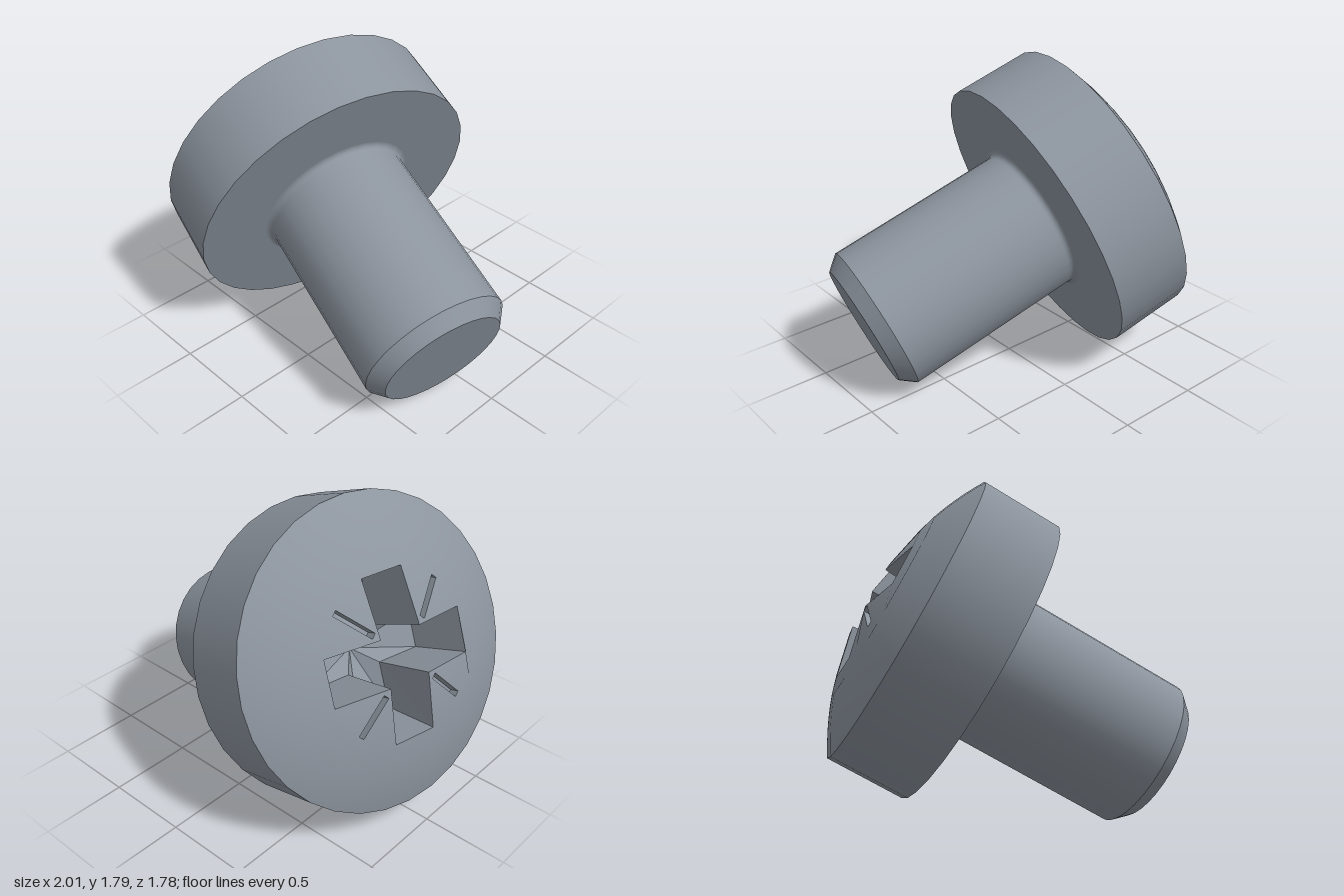
import * as THREE from 'three';

const SEG = 32;
const R = 0.866;          // head radius
const H = 0.237;          // dome height above the rim
const S = (R * R + H * H) / (2 * H); // dome sphere radius
const INNER = 0.56;       // radius where the recessed face begins
const domeZ = (x, y) => Math.sqrt(S * S - x * x - y * y) - (S - H);

// Solid of revolution around local z; profile is [radius, z] pairs in rising order
function turned(profile) {
  const g = new THREE.LatheGeometry(profile.map(([r, z]) => new THREE.Vector2(r, z)), SEG);
  return g.rotateX(Math.PI / 2);
}

// True sphere normals for both pieces of the dome
function sphereNormals(g) {
  const p = g.attributes.position, v = new THREE.Vector3();
  for (let i = 0; i < p.count; i++) {
    v.set(p.getX(i), p.getY(i), p.getZ(i) + S - H).normalize();
    g.attributes.normal.setXYZ(i, v.x, v.y, v.z);
  }
  return g;
}

// Inward-facing walls and pointed floor below a counter-clockwise outline
function pocket(outline, floorZ, scale, tipDrop) {
  const c = outline.reduce((a, p) => a.add(p), new THREE.Vector2()).divideScalar(outline.length);
  const top = outline.map(p => new THREE.Vector3(p.x, p.y, domeZ(p.x, p.y)));
  const low = outline.map((p, i) => new THREE.Vector3(
    c.x + (p.x - c.x) * scale, c.y + (p.y - c.y) * scale, floorZ(top[i].z)));
  const tip = new THREE.Vector3(c.x, c.y, floorZ(domeZ(c.x, c.y)) - tipDrop);
  const pts = [];
  for (let i = 0; i < top.length; i++) {
    const j = (i + 1) % top.length;
    pts.push(top[i], top[j], low[j], top[i], low[j], low[i], low[i], low[j], tip);
  }
  const g = new THREE.BufferGeometry().setFromPoints(pts);
  g.computeVertexNormals();
  return g;
}

export function createModel() {
  const steel = new THREE.MeshStandardMaterial({ color: 0x8c949e });
  steel.name = 'steel grey';
  const screw = new THREE.Group();
  screw.name = 'screw';
  const add = (name, geometry) => {
    const m = new THREE.Mesh(geometry, steel);
    m.name = name;
    screw.add(m);
  };

  // Shank, with a small fillet under the head
  const under = -0.46, end = under - 1.175, chamfer = under - 1.09;
  const shaft = [[0.436, chamfer], [0.436, under - 0.05]];
  for (let i = 0; i <= 5; i++) {
    const a = (i / 5) * Math.PI / 2;
    shaft.push([0.471 - 0.035 * Math.cos(a), under - 0.035 + 0.035 * Math.sin(a)]);
  }
  add('shankEnd', turned([[0, end], [0.364, end]]));
  add('shankChamfer', turned([[0.364, end], [0.436, chamfer]]));
  add('shank', turned(shaft));

  // Head
  add('headUnderside', turned([[0.471, under], [R, under]]));
  add('headRim', turned([[R, under], [R, 0]]));
  const band = [];
  for (let i = 0; i <= 6; i++) {
    const r = R + (INNER - R) * i / 6;
    band.push([r, domeZ(r, 0)]);
  }
  add('headDome', sphereNormals(turned(band)));

  // Cross and four slim radial notches
  const w = 0.13, l = 0.45, t = 0.017;
  const cross = [], notches = [];
  for (let k = 0; k < 4; k++) {
    const turn = (x, y, a) => new THREE.Vector2(x, y).rotateAround(new THREE.Vector2(), a);
    const a = k * Math.PI / 2;
    cross.push(turn(l, -w, a), turn(l, w, a), turn(w, w, a));
    notches.push([[0.23, -t], [0.47, -t], [0.47, t], [0.23, t]]
      .map(([x, y]) => turn(x, y, a + Math.PI / 4)));
  }

  // Middle of the dome, pierced by the recess outlines
  const rim = [];
  for (let i = 0; i < SEG; i++) {
    const a = i * 2 * Math.PI / SEG;
    rim.push(new THREE.Vector2(INNER * Math.cos(a), INNER * Math.sin(a)));
  }
  const face = new THREE.Shape(rim);
  face.holes = [cross, ...notches].map(o => new THREE.Path(o));
  const faceGeo = new THREE.ShapeGeometry(face);
  const p = faceGeo.attributes.position;
  for (let i = 0; i < p.count; i++) p.setZ(i, domeZ(p.getX(i), p.getY(i)));
  add('headFace', sphereNormals(faceGeo));

  // Recess walls
  add('crossRecess', pocket(cross, () => -0.16, 0.84, 0.1));
  notches.forEach(n => add('notch', pocket(n, z => z - 0.06, 1, 0)));

  // Tilt the screw so its head points left, up and slightly back
  const out = new THREE.Vector3(-0.908, 0.372, -0.191).normalize();
  const up = new THREE.Vector3(0, 1, 0).addScaledVector(out, -out.y).normalize();
  const side = new THREE.Vector3().crossVectors(out, up);
  screw.quaternion.setFromRotationMatrix(new THREE.Matrix4().makeBasis(up, side, out));
  screw.position.set(-0.63, 0.985, -0.044);

  const model = new THREE.Group();
  model.name = 'machineScrew';
  model.add(screw);
  return model;
}
